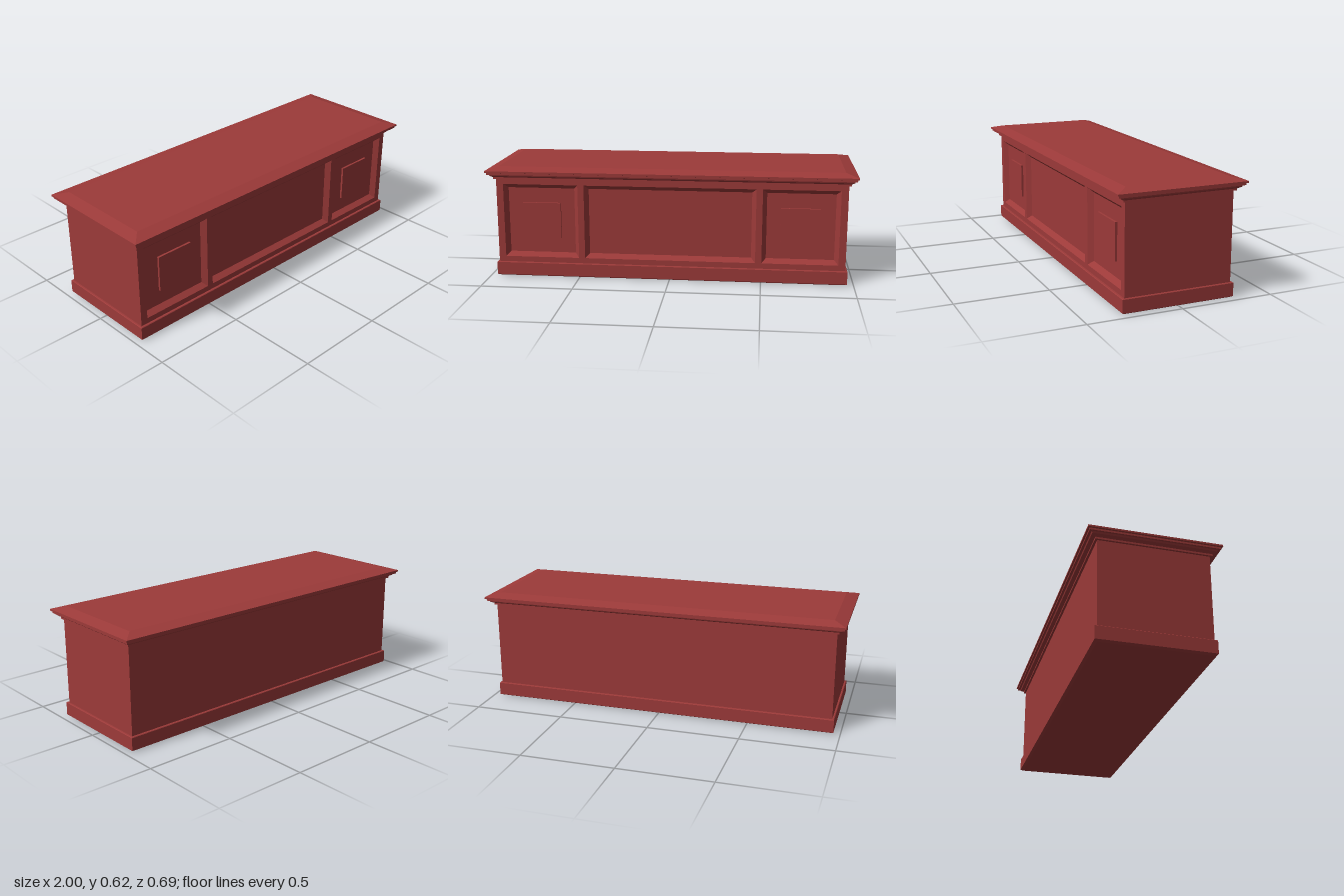
import * as THREE from 'three';

const material = new THREE.MeshStandardMaterial({ color: 0x9c3a39, flatShading: true });

// Rectangular rings [halfX, halfZ, y] joined into walls, with optional caps
function loft(name, rings, capStart = true, capEnd = true) {
  const pos = [];
  const corners = rings.map(([x, z, y]) => [[-x, y, z], [x, y, z], [x, y, -z], [-x, y, -z]]);
  const quad = (a, b, c, d) => pos.push(...a, ...b, ...c, ...a, ...c, ...d);
  for (let i = 0; i < corners.length - 1; i++) {
    const lo = corners[i], hi = corners[i + 1];
    for (let k = 0; k < 4; k++) {
      const n = (k + 1) % 4;
      quad(lo[k], lo[n], hi[n], hi[k]);
    }
  }
  if (capStart) quad(...[...corners[0]].reverse());
  if (capEnd) quad(...corners[corners.length - 1]);
  const geo = new THREE.BufferGeometry();
  geo.setAttribute('position', new THREE.Float32BufferAttribute(pos, 3));
  geo.computeVertexNormals();
  const mesh = new THREE.Mesh(geo, material);
  mesh.name = name;
  return mesh;
}

function box(name, w, h, d, x, y, z) {
  const mesh = new THREE.Mesh(new THREE.BoxGeometry(w, h, d), material);
  mesh.position.set(x, y, z);
  mesh.name = name;
  return mesh;
}

function rectPath(path, x0, x1, y0, y1) {
  path.moveTo(x0, y0);
  path.lineTo(x1, y0);
  path.lineTo(x1, y1);
  path.lineTo(x0, y1);
  path.closePath();
  return path;
}

export function createModel() {
  const group = new THREE.Group();
  group.name = 'counter';
  const front = 0.29, recess = 0.027, bodyX = 0.953, y0 = 0.11, y1 = 0.52;

  // Plinth with a chamfered foot and a softened top edge
  group.add(loft('plinth', [
    [0.95, 0.288, 0], [0.964, 0.303, 0.008], [0.964, 0.303, 0.077], [0.961, 0.3, 0.08],
  ]));

  // Carcass behind the panelled front
  const floorZ = front - recess - 0.003;
  group.add(box('carcass', bodyX * 2, 0.5, floorZ + front, 0, 0.31, (floorZ - front) / 2));

  // Front board with three openings
  const board = rectPath(new THREE.Shape(), -bodyX, bodyX, 0.06, 0.56);
  const openings = [
    ['rightPanel', -0.915, -0.502],
    ['middlePanel', -0.468, 0.468],
    ['leftPanel', 0.502, 0.915],
  ];
  openings.forEach(([, a, b]) => board.holes.push(rectPath(new THREE.Path(), a, b, y0, y1)));
  const boardMesh = new THREE.Mesh(
    new THREE.ExtrudeGeometry(board, { depth: front - floorZ, bevelEnabled: false }), material);
  boardMesh.position.z = floorZ;
  boardMesh.name = 'frontFrame';
  group.add(boardMesh);

  // Recessed panels with sloping borders
  const slope = 0.023, cy = (y0 + y1) / 2;
  openings.forEach(([name, a, b]) => {
    const w = (b - a) / 2, h = (y1 - y0) / 2;
    const panel = loft(name, [[w, h, 0], [w - slope, h - slope, -recess]], false, true);
    panel.rotation.x = Math.PI / 2;
    panel.position.set((a + b) / 2, cy, front);
    group.add(panel);
  });

  // Raised squares on the two end panels
  for (const s of [-1, 1]) {
    group.add(box(s < 0 ? 'rightRaisedSquare' : 'leftRaisedSquare',
      0.21, 0.198, 0.02, s * 0.706, 0.316, front - recess + 0.002));
  }

  // Stepped cornice and bevelled top slab
  group.add(loft('cornice', [
    [0.964, 0.302, 0.55], [0.964, 0.302, 0.56], [0.979, 0.321, 0.57], [0.982, 0.324, 0.579],
    [0.992, 0.337, 0.579], [0.992, 0.337, 0.589], [1, 0.346, 0.591], [1, 0.346, 0.6],
    [0.935, 0.278, 0.617],
  ]));
  return group;
}
